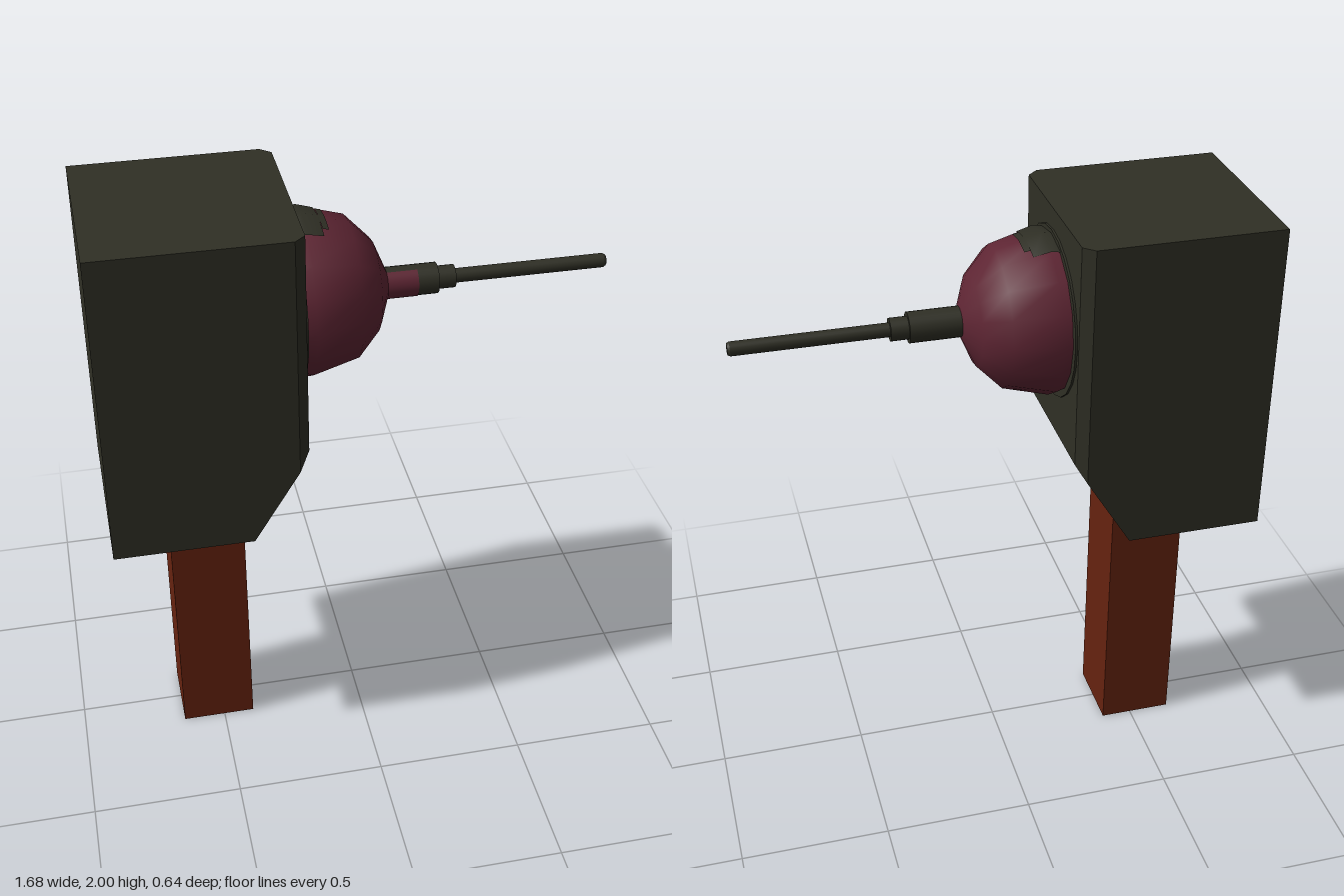
import * as THREE from 'three';
import { ConvexGeometry } from 'three/addons/geometries/ConvexGeometry.js';

const mat = (name, color) => new THREE.MeshStandardMaterial({ name, color });
const AXIS_Y = 1.654;

export function createModel() {
  const olive = mat('dark olive', 0x2f2f25);
  const maroon = mat('maroon', 0x5e2533);
  const rust = mat('rust', 0x66230f);
  const model = new THREE.Group();
  const add = (name, geometry, material) => {
    const mesh = new THREE.Mesh(geometry, material);
    mesh.name = name;
    model.add(mesh);
    return mesh;
  };

  // Post
  add('post', new THREE.BoxGeometry(0.25, 0.96, 0.25), rust).position.set(-0.52, 0.48, 0);

  // Housing: box with chamfered front corners and a sloping underside
  const corners = [];
  for (const s of [-1, 1]) {
    corners.push(
      [-0.84, 0.937, 0.32 * s], [-0.84, 2, 0.32 * s], [-0.385, 0.937, 0.32 * s],
      [-0.232, 2, 0.32 * s], [-0.232, 1.187, 0.32 * s],
      [-0.197, 2, 0.288 * s], [-0.197, 1.245, 0.288 * s]);
  }
  const housing = new ConvexGeometry(corners.map((c) => new THREE.Vector3(...c)));
  add('housing', housing, olive);

  // Parts turned about the horizontal axis; angle 0 faces +z, 90 degrees faces down
  const turned = (name, profile, segments, material, start = 0, length = Math.PI * 2) => {
    const points = profile.map(([x, r]) => new THREE.Vector2(r, x));
    const g = new THREE.LatheGeometry(points, segments, start, length);
    g.rotateZ(-Math.PI / 2).translate(0, AXIS_Y, 0.004);
    return add(name, g, material);
  };
  const rod = (name, x0, x1, r, material, start = 0, length = Math.PI * 2, open = false, endR = r) => {
    const g = new THREE.CylinderGeometry(endR, r, x1 - x0, 24, 1, open, start, length);
    g.rotateZ(-Math.PI / 2).translate((x0 + x1) / 2, AXIS_Y, 0.002);
    return add(name, g, material);
  };

  // Ball mount and its socket rim
  turned('ball', [[-0.3, 0.23], [-0.16, 0.27], [-0.01, 0.23], [0.067, 0.15], [0.11, 0.045], [0.112, 0]], 16, maroon);
  rod('socketRim', -0.21, -0.19, 0.28, olive);

  // Dark patches above and below the ball
  const step = Math.PI / 8;
  for (const [side, mid] of [['top', Math.PI * 1.5], ['bottom', Math.PI / 2]]) {
    turned(side + 'Patch', [[-0.2, 0.266], [-0.16, 0.274], [-0.105, 0.259]], 2, olive, mid - step, step * 2);
    turned(side + 'PatchTip', [[-0.105, 0.259], [-0.085, 0.254]], 2, olive, mid - step * 0.7, step * 1.4);
  }

  // Barrel: sleeve with a maroon front side, collar, and long thin tube
  rod('sleeve', 0.08, 0.275, 0.05, olive);
  rod('sleeveFront', 0.08, 0.207, 0.052, maroon, -1.15, 2.9, true);
  rod('collar', 0.27, 0.333, 0.037, olive);
  rod('barrel', 0.32, 0.832, 0.023, olive);
  rod('muzzle', 0.832, 0.84, 0.023, olive, 0, Math.PI * 2, false, 0.018);

  return model;
}
